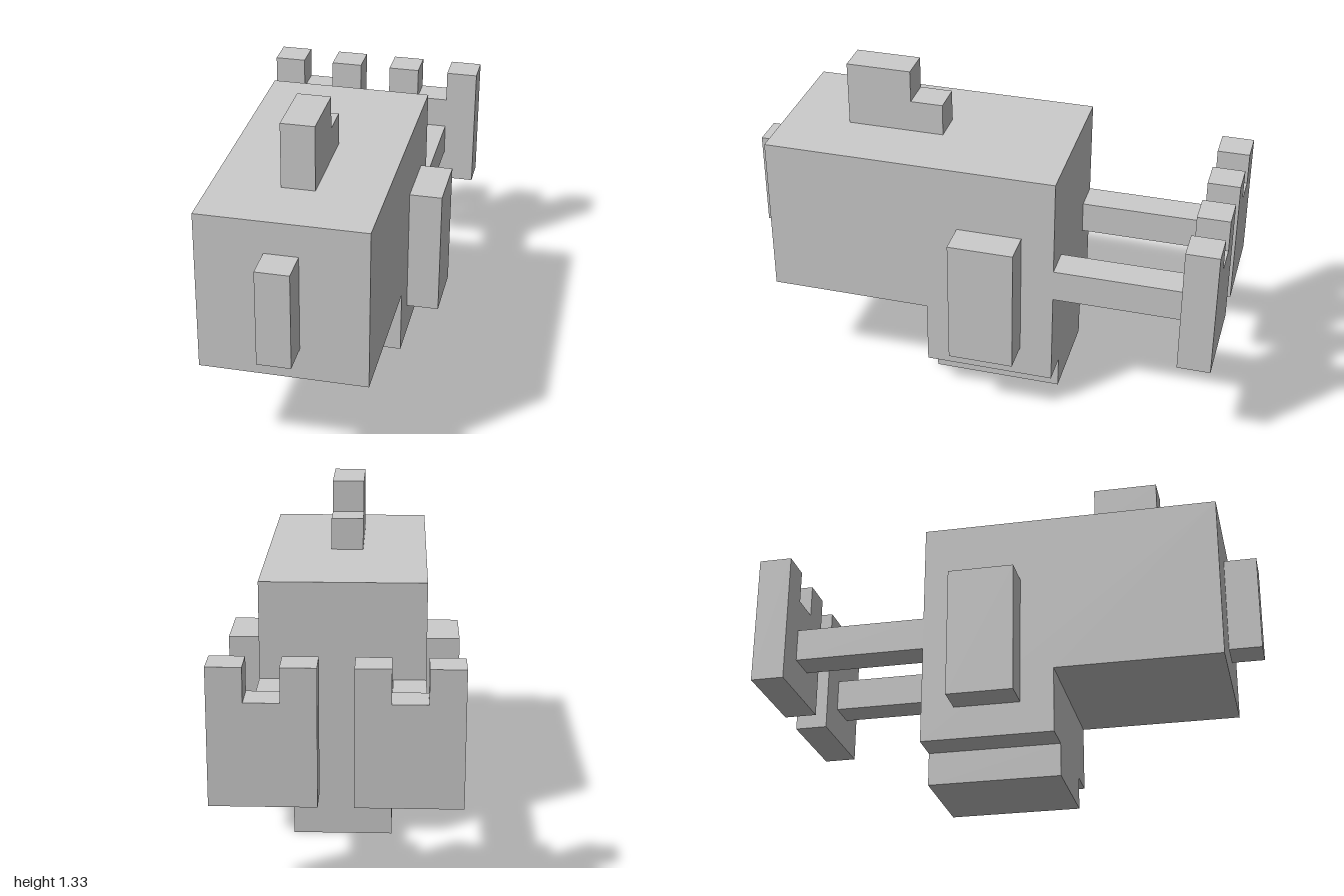
import * as THREE from 'three';

const U = 2 / 15; // one block of the model's grid
const material = new THREE.MeshStandardMaterial({ color: 0xcccccc, flatShading: true });

function addMesh(parent, name, geometry) {
  const mesh = new THREE.Mesh(geometry.scale(U, U, U), material);
  mesh.name = name;
  parent.add(mesh);
}

// Box given by its lower and upper bounds in blocks
function addBox(parent, name, [x0, x1], [y0, y1], [z0, z1]) {
  const geometry = new THREE.BoxGeometry(x1 - x0, y1 - y0, z1 - z0);
  geometry.translate((x0 + x1) / 2, (y0 + y1) / 2, (z0 + z1) / 2);
  addMesh(parent, name, geometry);
}

function extrude(points, depth) {
  const shape = new THREE.Shape(points.map(([a, b]) => new THREE.Vector2(a, b)));
  return new THREE.ExtrudeGeometry(shape, { depth, bevelEnabled: false });
}

// Side profile of (z, y) points, extruded evenly about x = 0
function addProfile(parent, name, points, width) {
  const geometry = extrude(points, width).translate(0, 0, -width / 2).rotateY(-Math.PI / 2);
  addMesh(parent, name, geometry);
}

export function createModel() {
  const model = new THREE.Group();
  model.name = 'blockCreature';

  // L-shaped body with a narrower base
  addProfile(model, 'body',
    [[-2.5, 1], [1.5, 1], [1.5, 3], [6.5, 3], [6.5, 8], [-2.5, 8]], 5);
  addBox(model, 'base', [-1.5, 1.5], [0, 1], [-2.5, 1.5]);

  // Front snout and stepped top crest
  addBox(model, 'snout', [-0.5, 0.5], [4, 7], [6.5, 7.5]);
  addProfile(model, 'crest',
    [[1.5, 8], [4.5, 8], [4.5, 10], [2.5, 10], [2.5, 9], [1.5, 9]], 1);

  // Mirrored side slabs, rear arms and notched end plates
  for (const [side, s] of [['left', 1], ['right', -1]]) {
    const span = (a, b) => (s > 0 ? [a, b] : [-b, -a]);
    addBox(model, side + 'SideSlab', span(2.5, 3.5), [2, 6], [-1.5, 0.5]);
    addBox(model, side + 'RearArm', span(1.5, 2.5), [4, 5], [-6.5, -2.5]);
    const plate = extrude(
      [[-1.5, 3], [1.5, 3], [1.5, 7], [0.5, 7], [0.5, 6], [-0.5, 6], [-0.5, 7], [-1.5, 7]], 1);
    addMesh(model, side + 'NotchedPlate', plate.translate(2 * s, 0, -7.5));
  }
  return model;
}
